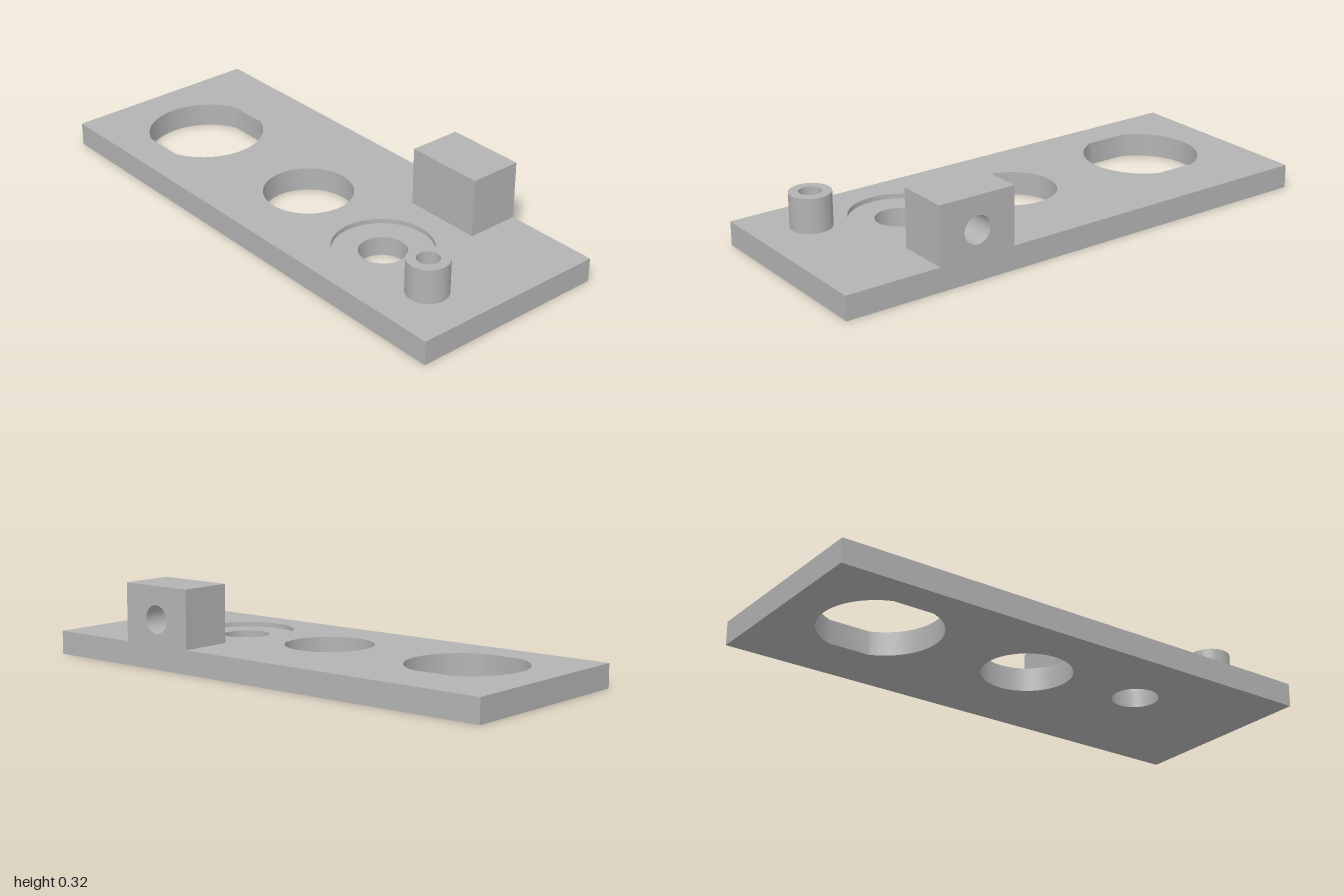
import * as THREE from 'three';
import { toCreasedNormals } from 'three/addons/utils/BufferGeometryUtils.js';

const SEGMENTS = 48;
const PLATE_TOP = 0.092, HALF_DEPTH = 0.393;

function rect(x0, y0, x1, y1) {
  return new THREE.Shape([[x0, y0], [x1, y0], [x1, y1], [x0, y1]].map(p => new THREE.Vector2(...p)));
}

function circle(x, y, r) {
  return new THREE.Path().absarc(x, y, r, 0, Math.PI * 2, false);
}

// Round hole cut by two parallel flats
function doubleD(x, y, r, halfFlat) {
  const a = Math.asin(halfFlat / r);
  return new THREE.Path()
    .absarc(x, y, r, -a, a, false)
    .absarc(x, y, r, Math.PI - a, Math.PI + a, false);
}

function extrude(shape, holes, depth) {
  shape.holes.push(...holes);
  const geo = new THREE.ExtrudeGeometry(shape, { depth, bevelEnabled: false, curveSegments: SEGMENTS });
  return toCreasedNormals(geo, 0.5);
}

export function createModel() {
  const model = new THREE.Group();
  model.name = 'mountingPlate';
  const grey = new THREE.MeshStandardMaterial({ color: 0xb3b3b3 });
  grey.name = 'plain grey';

  const add = (name, geo, x = 0, y = 0, z = 0, parent = model) => {
    const mesh = new THREE.Mesh(geo, grey);
    mesh.name = name;
    mesh.position.set(x, y, z);
    parent.add(mesh);
  };

  // Base plate in two layers, so the right-hand hole has a shallow counterbore
  const plate = new THREE.Group();
  plate.name = 'plate';
  model.add(plate);
  const recess = 0.018;
  const layer = (name, top, thickness, boreRadius) => {
    const holes = [
      doubleD(-0.633, 0.047, 0.225, 0.21),
      circle(0, 0.048, 0.17),
      circle(0.472, 0.1, boreRadius),
    ];
    const geo = extrude(rect(-1, -HALF_DEPTH, 1, HALF_DEPTH), holes, thickness);
    geo.rotateX(Math.PI / 2);
    add(name, geo, 0, top, 0, plate);
  };
  layer('lowerLayer', PLATE_TOP - recess, PLATE_TOP - recess, 0.089);
  layer('upperLayer', PLATE_TOP, recess, 0.186);

  // Block on the back edge with a blind hole in its rear face
  const block = new THREE.Group();
  block.name = 'block';
  model.add(block);
  const x0 = 0.317, x1 = 0.628, top = 0.317, front = -0.185, boreDepth = 0.15;
  const outline = () => rect(x0, PLATE_TOP, x1, top);
  add('drilledRear', extrude(outline(), [circle((x0 + x1) / 2, 0.19, 0.054)], boreDepth),
    0, 0, -HALF_DEPTH, block);
  add('solidFront', extrude(outline(), [], front + HALF_DEPTH - boreDepth),
    0, 0, -HALF_DEPTH + boreDepth, block);

  // Post with a blind bore
  const profile = [[0.078, 0], [0.078, 0.133], [0.042, 0.133], [0.042, 0.02], [0, 0.02]];
  const post = new THREE.LatheGeometry(profile.map(p => new THREE.Vector2(...p)), SEGMENTS);
  add('post', toCreasedNormals(post, 0.5), 0.787, PLATE_TOP, 0.184);

  return model;
}
